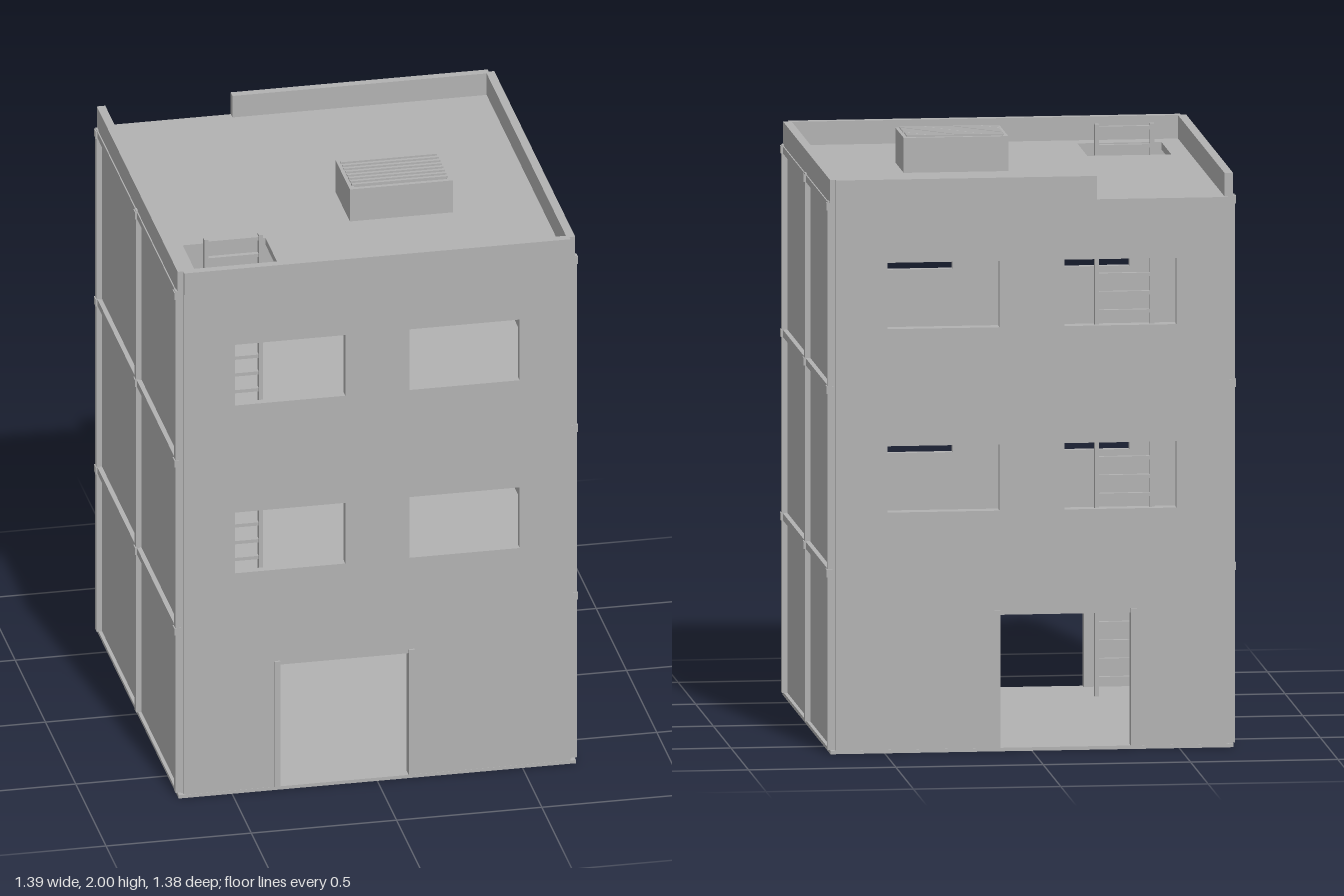
import * as THREE from 'three';

export function createModel() {
  const group = new THREE.Group();
  group.name = 'building';
  const concrete = new THREE.MeshStandardMaterial({ color: 0xb2b2b2 });
  concrete.name = 'concrete grey';

  // Box given by its min and max on each axis
  function box(name, x0, x1, y0, y1, z0, z1, parent = group) {
    const m = new THREE.Mesh(new THREE.BoxGeometry(x1 - x0, y1 - y0, z1 - z0), concrete);
    m.position.set((x0 + x1) / 2, (y0 + y1) / 2, (z0 + z1) / 2);
    m.name = name;
    parent.add(m);
    return m;
  }
  function rect(Type, x0, x1, y0, y1) {
    const p = new Type();
    p.moveTo(x0, y0);
    p.lineTo(x1, y0);
    p.lineTo(x1, y1);
    p.lineTo(x0, y1);
    p.closePath();
    return p;
  }
  const extrude = (shape, depth) =>
    new THREE.ExtrudeGeometry(shape, { depth, bevelEnabled: false });

  const roof = 1.875, storey = 0.625, top = 1.955, inner = 0.655;

  // Ground slab
  box('groundSlab', -0.684, 0.684, 0, 0.012, -0.683, 0.683);

  // Front and back walls: outline runs around the doorway, windows are holes
  const wall = new THREE.Shape();
  [[-0.665, 0.012], [-0.335, 0.012], [-0.335, 0.465], [0.11, 0.465], [0.11, 0.012],
    [0.665, 0.012], [0.665, roof], [-0.665, roof]]
    .forEach(([x, y], i) => (i ? wall.lineTo(x, y) : wall.moveTo(x, y)));
  wall.closePath();
  for (const y of [0.82, 1.445]) {
    for (const x of [-0.49, 0.11]) wall.holes.push(rect(THREE.Path, x, x + 0.38, y, y + 0.226));
  }
  const wallGeo = extrude(wall, 0.027);
  for (const [name, z] of [['frontWall', inner], ['backWall', -inner - 0.027]]) {
    const m = new THREE.Mesh(wallGeo, concrete);
    m.name = name;
    m.position.z = z;
    group.add(m);
  }

  // Door posts on both faces
  for (const s of [-1, 1]) {
    for (const x of [-0.345, 0.118]) {
      const z = s * 0.67;
      box('doorPost', x - 0.01, x + 0.01, 0.012, 0.48, z - 0.02, z + 0.02);
    }
  }

  // Side walls with a frame of posts, rails and joints
  for (const s of [-1, 1]) {
    const side = new THREE.Group();
    side.name = s > 0 ? 'leftSide' : 'rightSide';
    group.add(side);
    const slab = (name, a, b, y0, y1, z0, z1) =>
      box(name, Math.min(s * a, s * b), Math.max(s * a, s * b), y0, y1, z0, z1, side);
    slab('sideWall', inner, 0.672, 0.012, roof, -0.668, 0.668);
    for (const z of [-0.65, 0, 0.65]) {
      slab('post', 0.66, 0.691, 0.012, 1.88, z - 0.012, z + 0.012);
      for (let i = 1; i <= 3; i++) {
        const y = i * storey - 0.012;
        slab('joint', 0.66, 0.695, y - 0.013, y + 0.013, z - 0.014, z + 0.014);
      }
    }
    for (let i = 1; i <= 3; i++) {
      const y = i * storey - 0.012;
      slab('rail', 0.66, 0.688, y - 0.012, y + 0.012, -0.66, 0.66);
    }
    slab('sideParapet', inner, 0.684, roof, top, -0.668, 0.668);
  }

  // Front parapet, and back parapet with a gap at one end
  box('frontParapet', -0.665, 0.665, roof, top, inner, 0.685);
  box('backParapet', -0.22, 0.665, roof, top, -0.685, -inner);

  // Floors and roof, each with a ladder hatch
  const floor = rect(THREE.Shape, -0.658, 0.658, -0.658, 0.658);
  floor.holes.push(rect(THREE.Path, -0.59, -0.305, -0.585, -0.3));
  const floorGeo = extrude(floor, 0.025);
  floorGeo.rotateX(-Math.PI / 2);
  for (let i = 1; i <= 3; i++) {
    const m = new THREE.Mesh(floorGeo, concrete);
    m.name = i < 3 ? 'floor' : 'roof';
    m.position.y = i * storey - 0.025;
    group.add(m);
  }

  // Ladder through all storeys
  const ladder = new THREE.Group();
  ladder.name = 'ladder';
  group.add(ladder);
  for (const x of [-0.541, -0.353]) {
    box('ladderRail', x - 0.007, x + 0.007, 0.012, 1.962, 0.43, 0.455, ladder);
  }
  for (let i = 0; i < 31; i++) {
    const y = 0.0725 + i * 0.0625;
    box('rung', -0.541, -0.353, y - 0.006, y + 0.006, 0.434, 0.451, ladder);
  }

  // Rooftop ventilation unit with a slatted top
  const vent = new THREE.Group();
  vent.name = 'ventUnit';
  group.add(vent);
  box('ventBase', 0.002, 0.353, roof, 1.97, -0.008, 0.228, vent);
  for (const [x0, x1] of [[0, 0.018], [0.337, 0.355]]) {
    box('ventEnd', x0, x1, roof, 1.994, -0.01, 0.23, vent);
  }
  for (const z of [-0.01, 0.215]) {
    box('ventSide', 0.018, 0.337, roof, 1.994, z, z + 0.015, vent);
  }
  for (let i = 0; i < 8; i++) {
    const z = 0.02 + i * 0.0257;
    box('ventSlat', 0.012, 0.343, 1.985, 2, z - 0.006, z + 0.006, vent);
  }
  return group;
}
